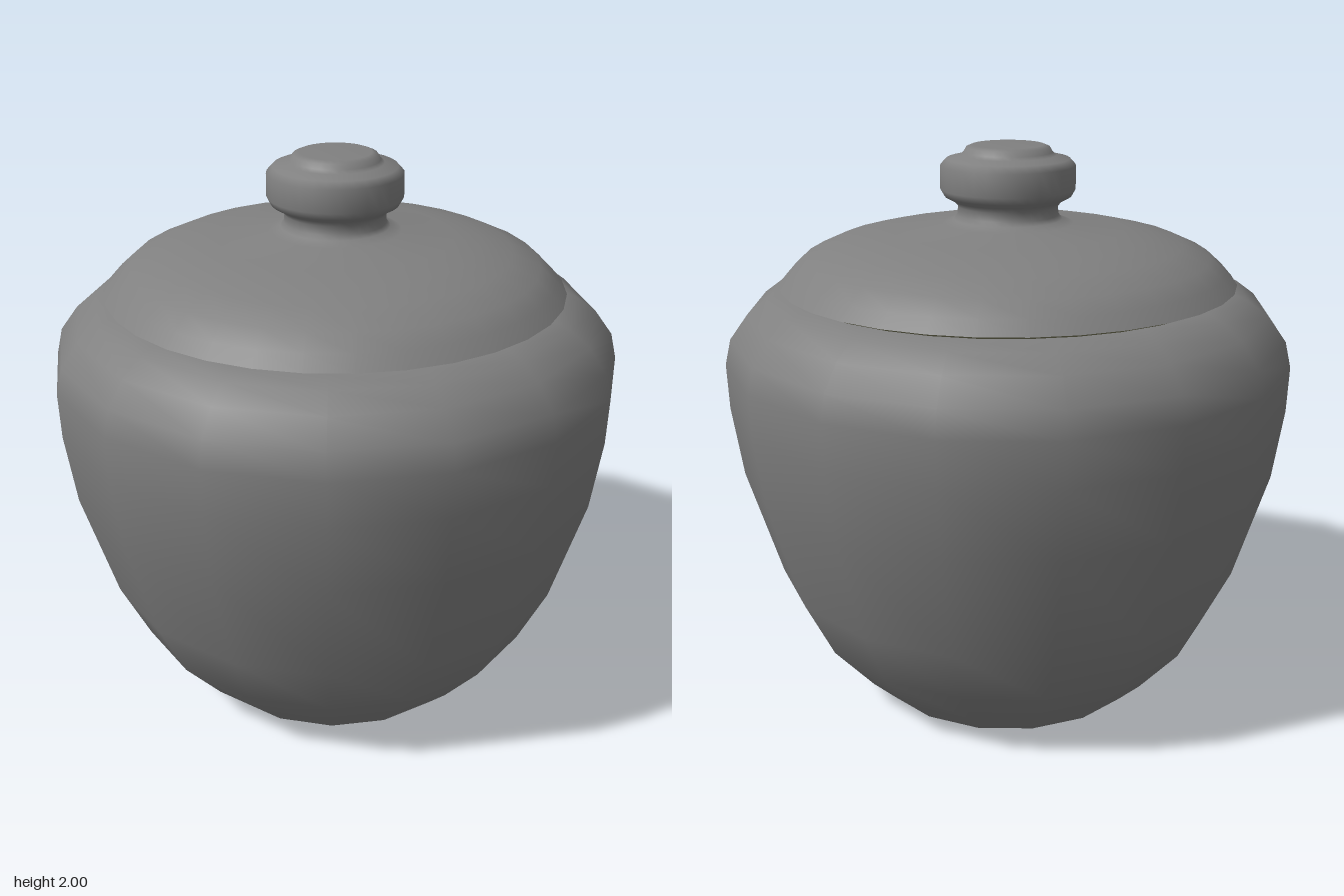
import * as THREE from 'three';

const glaze = new THREE.MeshStandardMaterial({ color: 0x808080 });
const olive = new THREE.MeshStandardMaterial({ color: 0x808060 });

// Turned part from [radius, height] points, listed from the bottom up
function turned(name, points, sides, material = glaze) {
  const profile = points.map(([r, y]) => new THREE.Vector2(r, y));
  const mesh = new THREE.Mesh(new THREE.LatheGeometry(profile, sides, Math.PI / sides), material);
  mesh.name = name;
  return mesh;
}

export function createModel() {
  const jar = new THREE.Group();
  jar.name = 'lidded jar';

  // Low-sided pot with smooth shading and a crisp, flat base
  const pot = new THREE.Group();
  pot.name = 'pot';
  pot.add(
    turned('potBase', [[0, 0], [0.5, 0]], 16),
    turned('potWall', [
      [0.5, 0], [0.585, 0.08], [0.735, 0.25], [0.84, 0.46], [0.96, 0.85],
      [0.997, 1.1], [1.003, 1.26], [0.982, 1.35], [0.92, 1.435], [0.85, 1.487], [0.79, 1.512],
      [0.74, 1.514],
    ], 16),
  );

  // Domed lid with an overhanging edge, a neck, a rounded knob and a raised cap
  const lid = new THREE.Group();
  lid.name = 'lid';
  lid.add(
    turned('lidUnderside', [[0, 1.508], [0.765, 1.51], [0.806, 1.526]], 32, olive),
    turned('lidDomeAndKnob', [
      [0.806, 1.526], [0.765, 1.572], [0.712, 1.62], [0.615, 1.664], [0.51, 1.69],
      [0.41, 1.71], [0.23, 1.731], [0.19, 1.745], [0.178, 1.76], [0.175, 1.79],
      [0.19, 1.808], [0.222, 1.825], [0.236, 1.85], [0.236, 1.93], [0.215, 1.953],
      [0.168, 1.964], [0.155, 1.975], [0.145, 1.992], [0.125, 2.0], [0, 2.0],
    ], 32),
  );

  jar.add(pot, lid);
  return jar;
}
